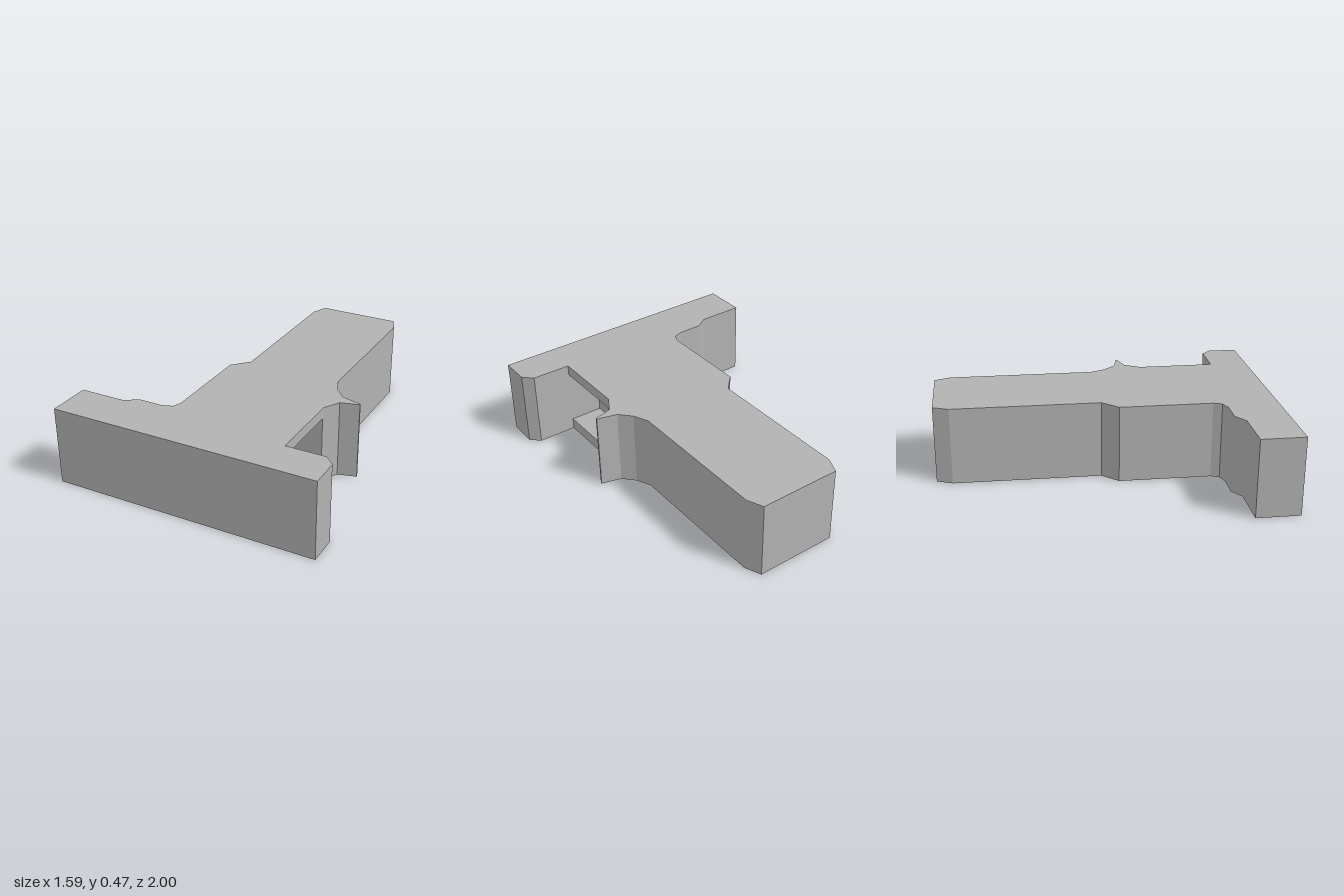
import * as THREE from 'three';

const HEIGHT = 0.465;

// plan outline as [x, z], with a notch in the left flank for the side pocket
const POCKET = { x0: 0.3, x1: 0.5, z0: 0.312, z1: 0.77, y0: 0.07, y1: 0.4 };
const OUTLINE = [
  [-0.795, 1], [0.79, 1], [0.79, 0.825], [0.735, 0.77], // front bar, left end
  [POCKET.x1, POCKET.z1], [POCKET.x0, POCKET.z1], [POCKET.x0, POCKET.z0], [POCKET.x1, POCKET.z0],
  [0.5, 0.305], [0.555, 0.21], [0.663, 0.18], [0.663, 0.17], // pointed spur
  [0.545, 0.14], [0.48, 0.07], [0.44, -0.02],
  [0.44, -0.905], [0.4, -1], [-0.09, -1], [-0.13, -0.905], // chamfered back end
  [-0.13, -0.025], [-0.22, 0.07], [-0.22, 0.62], // right flank
  [-0.24, 0.67], [-0.3, 0.69], [-0.445, 0.69], [-0.52, 0.74], [-0.795, 0.74], // front bar, right end
];

export function createModel() {
  const group = new THREE.Group();
  const grey = new THREE.MeshStandardMaterial({ color: 0xb2b2b2 });
  grey.name = 'plain grey';

  function add(name, geometry) {
    const mesh = new THREE.Mesh(geometry, grey);
    mesh.name = name;
    group.add(mesh);
    return mesh;
  }

  // main block: the plan extruded upwards
  const shape = new THREE.Shape(OUTLINE.map(([x, z]) => new THREE.Vector2(x, -z)));
  const body = new THREE.ExtrudeGeometry(shape, { depth: HEIGHT, bevelEnabled: false });
  body.rotateX(-Math.PI / 2);
  add('body', body);

  // slabs closing the notch below and above, leaving the pocket between them
  const { x0, x1, z0, z1, y0, y1 } = POCKET;
  for (const [name, low, high] of [['pocketFloor', 0, y0], ['pocketCeiling', y1, HEIGHT]]) {
    const slab = add(name, new THREE.BoxGeometry(x1 - x0, high - low, z1 - z0));
    slab.position.set((x0 + x1) / 2, (low + high) / 2, (z0 + z1) / 2);
  }

  return group;
}
